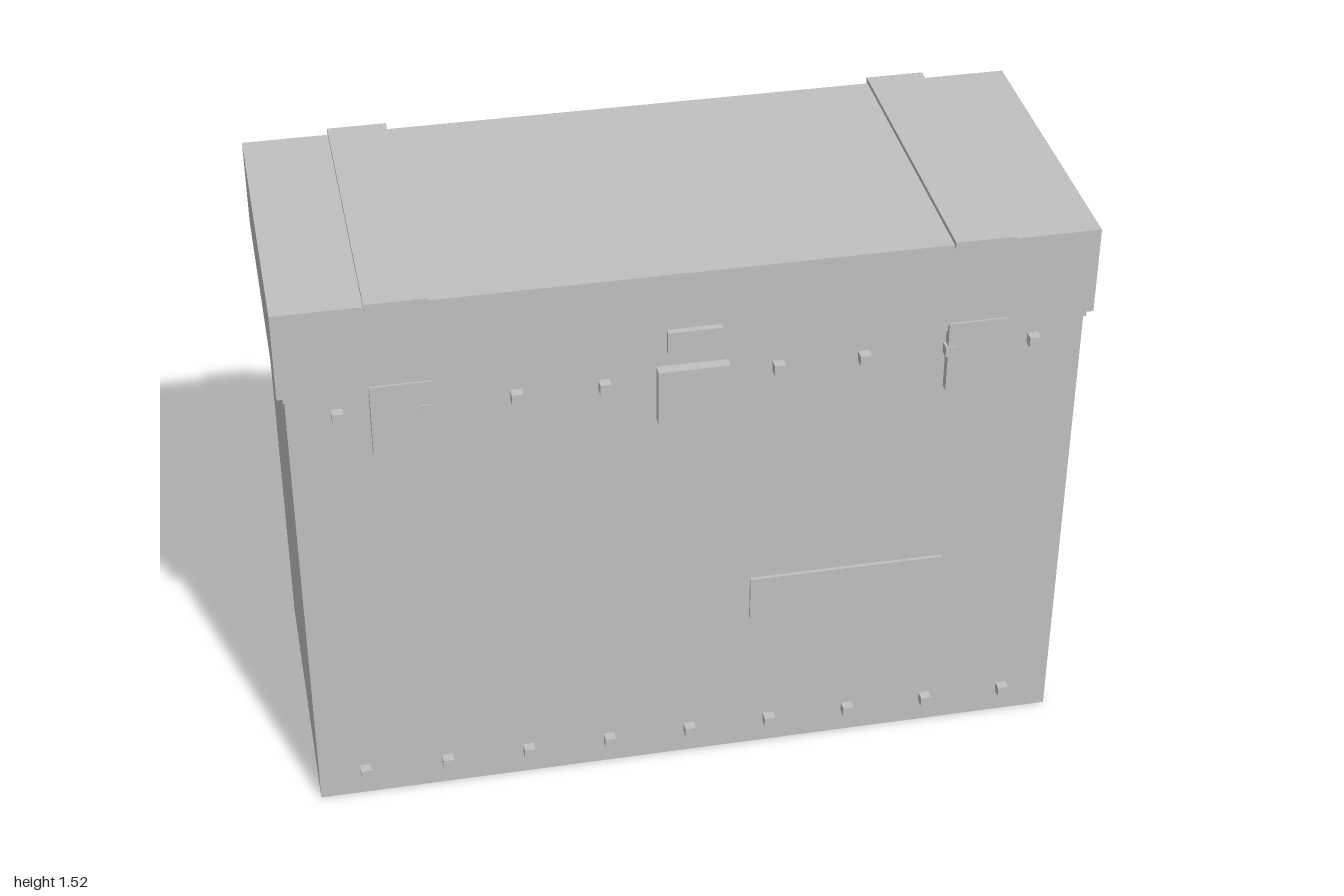
import * as THREE from 'three';

export function createModel() {
  const model = new THREE.Group();
  model.name = 'chest';
  const grey = new THREE.MeshStandardMaterial({ color: 0xc0c0c0 });
  grey.name = 'plain grey';

  // Box given by its extents along each axis
  const box = (name, [x0, x1], [y0, y1], [z0, z1]) => {
    const mesh = new THREE.Mesh(new THREE.BoxGeometry(x1 - x0, y1 - y0, z1 - z0), grey);
    mesh.position.set((x0 + x1) / 2, (y0 + y1) / 2, (z0 + z1) / 2);
    mesh.name = name;
    model.add(mesh);
  };

  // Case: body, seal rim and overhanging lid
  box('body', [-0.982, 0.982], [0, 1.262], [-0.368, 0.42]);
  box('rim', [-0.986, 0.986], [1.258, 1.278], [-0.374, 0.43]);
  box('lid', [-1, 1], [1.275, 1.508], [-0.387, 0.438]);

  // Lid straps, front hasps and rear hinges, one of each per side
  for (const [side, s] of [['right', -1], ['left', 1]]) {
    const span = (a, b) => [Math.min(s * a, s * b), Math.max(s * a, s * b)];
    box(side + 'LidStrap', span(0.633, 0.783), [1.502, 1.52], [-0.397, 0.448]);
    box(side + 'Hasp', span(0.633, 0.783), [1.09, 1.285], [0.42, 0.443]);
    box(side + 'Hinge', span(0.533, 0.68), [1.09, 1.34], [-0.454, -0.384]);
  }

  // Lock, its catch and the blank plate
  box('lockPlate', [-0.09, 0.087], [1.09, 1.24], [0.42, 0.449]);
  box('lockCatch', [-0.068, 0.066], [1.295, 1.355], [0.436, 0.455]);
  box('blankPlate', [0.15, 0.655], [0.445, 0.57], [0.437, 0.446]);

  // Rear rail
  box('rearRail', [-0.906, 0.906], [0.684, 0.834], [-0.454, -0.384]);

  // Rows of square rivets along the front
  for (const y of [0.079, 1.206]) {
    for (let i = -4; i <= 4; i++) {
      const x = i * 0.2145 - 0.003;
      box('rivet', [x - 0.014, x + 0.014], [y - 0.014, y + 0.014], [0.419, 0.446]);
    }
  }
  return model;
}
